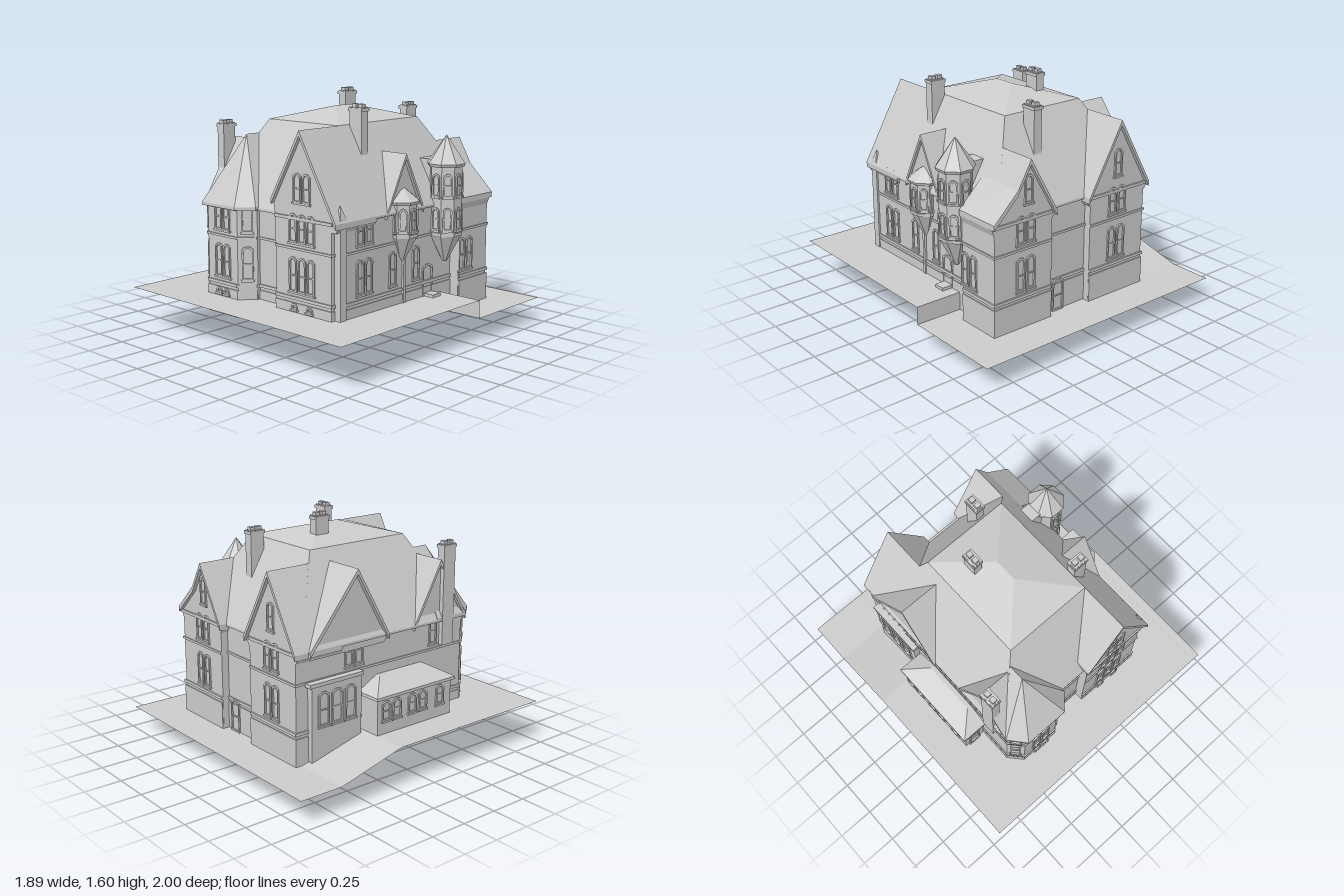
import * as THREE from 'three';

const grey = new THREE.MeshStandardMaterial({ color: 0xcccccc, flatShading: true });
const thin = new THREE.MeshStandardMaterial({ color: 0xcccccc, flatShading: true, side: THREE.DoubleSide });
const FRONT = 0, RIGHT = Math.PI / 2, BACK = Math.PI, LEFT = -Math.PI / 2;

export function createModel() {
  const model = new THREE.Group();
  model.name = 'manorHouse';

  const add = (name, geo, parent = model, mat = grey) => {
    const mesh = new THREE.Mesh(geo, mat);
    mesh.name = name;
    parent.add(mesh);
    return mesh;
  };
  // Box given by its limits
  const box = (name, x0, x1, y0, y1, z0, z1, parent) => {
    const m = add(name, new THREE.BoxGeometry(x1 - x0, y1 - y0, z1 - z0), parent);
    m.position.set((x0 + x1) / 2, (y0 + y1) / 2, (z0 + z1) / 2);
    return m;
  };
  // Group whose local +z points out of the given side
  const facing = (angle, name) => {
    const g = new THREE.Group();
    g.rotation.y = angle;
    g.name = name;
    model.add(g);
    return g;
  };
  // Solid skinned over loops of equal length, from bottom to top
  const loft = (name, loops) => {
    const pos = [], n = loops[0].length, top = loops[loops.length - 1];
    const tri = (a, b, c) => pos.push(...a, ...b, ...c);
    for (let k = 0; k + 1 < loops.length; k++) {
      for (let i = 0; i < n; i++) {
        const j = (i + 1) % n, lo = loops[k], up = loops[k + 1];
        tri(lo[i], lo[j], up[j]);
        tri(lo[i], up[j], up[i]);
      }
    }
    for (let i = 1; i + 1 < n; i++) {
      tri(loops[0][0], loops[0][i + 1], loops[0][i]);
      tri(top[0], top[i], top[i + 1]);
    }
    const g = new THREE.BufferGeometry();
    g.setAttribute('position', new THREE.Float32BufferAttribute(pos, 3));
    g.computeVertexNormals();
    return add(name, g);
  };
  const rect = (x0, x1, z0, z1, y) => [[x0, y, z1], [x1, y, z1], [x1, y, z0], [x0, y, z0]];
  const polygon = pts => new THREE.Shape(pts.map(p => new THREE.Vector2(p[0], p[1])));
  const extrude = (shape, depth) => new THREE.ExtrudeGeometry(shape, { depth, bevelEnabled: false, curveSegments: 4 });

  // Walls and string courses
  const plan = [[-.56, .64], [-.48, .73], [-.2, .73], [-.11, .64], [-.11, .62], [.1, .62], [.1, .68], [.575, .68],
    [.575, .64], [.61, .64], [.61, -.43], [.68, -.43], [.68, -.74], [.23, -.74], [.23, -.69], [-.09, -.69],
    [-.09, -.74], [-.56, -.74]];
  const slab = (name, y0, y1, grow = 1) => {
    const g = extrude(polygon(plan.map(([x, z]) => [x * grow, -z * grow])), y1 - y0);
    g.rotateX(-Math.PI / 2);
    add(name, g).position.y = y0;
  };
  slab('walls', .16, .88);
  slab('plinth', .16, .34, 1.01);
  slab('waterTable', .36, .38, 1.014);
  slab('stringCourse', .675, .69, 1.012);
  slab('cornice', .86, .88, 1.015);

  // Main roof with a shallow top
  loft('mainRoof', [rect(-.585, .63, -.71, .65, .865), rect(-.585, .63, -.71, .65, .88),
    rect(-.28, .33, -.41, .36, 1.41), rect(.02, .02, -.1, .05, 1.495)]);

  // Gables: wall below a roof that oversails it
  const gable = (name, angle, pts, inner, wall, verge) => {
    const g = facing(angle, name);
    const a = pts[0][0], b = pts[pts.length - 1][0], drop = d => pts.map(([s, y]) => [s, y - d]);
    const body = extrude(polygon([[a + .02, .82], [b - .02, .82], ...drop(.03).reverse()]), wall - inner);
    add('gableWall', body, g).position.z = inner;
    const cover = extrude(polygon([...drop(.035), ...drop(0).reverse()]), verge - inner);
    add('gableRoof', cover, g).position.z = inner;
  };
  gable('frontGable', FRONT, [[.085, .975], [.33, 1.41], [.63, .88]], .34, .68, .705);
  gable('backLargeGable', BACK, [[.06, .88], [.32, 1.34], [.585, .88]], .4, .74, .765);
  gable('backSmallGable', BACK, [[-.7, .9], [-.52, 1.075], [-.42, 1.25], [-.21, .88]], .43, .74, .765);
  gable('leftSideDormer', RIGHT, [[-.24, .88], [-.06, 1.235], [.12, .88]], .42, .61, .63);
  gable('rightSideBackGable', LEFT, [[-.66, .88], [-.29, 1.335], [-.03, .88]], .31, .57, .6);
  gable('rightSideFrontGable', LEFT, [[.2, .88], [.42, 1.28], [.66, .88]], .34, .56, .585);

  // Roof of the canted corner bay
  const bayEave = [[-.585, .66], [-.49, .77], [-.18, .77], [-.09, .67], [-.09, .4], [-.585, .4]];
  loft('bayRoof', [bayEave.map(([x, z]) => [x, .87, z]), bayEave.map(([x, z]) => [x, .89, z]),
    bayEave.map((p, i) => [-.33, 1.32, i < 4 ? .52 : .4])]);

  // Windows: arched frame with a meeting rail and sill
  const frameGeo = (w, h) => {
    const arch = (v, lo, hi) => [[-v, lo], [v, lo], [v, hi - .02], [v * .5, hi - .004], [0, hi],
      [-v * .5, hi - .004], [-v, hi - .02]];
    const s = polygon(arch(w / 2, 0, h));
    s.holes.push(polygon(arch(w / 2 - .01, .01, h - .012).reverse()));
    return extrude(s, .01);
  };
  const windowAt = (x, y, z, angle, w, h) => {
    const g = facing(angle, 'window');
    g.position.set(x, y, z);
    add('windowFrame', frameGeo(w, h), g);
    if (h > .1) box('meetingRail', -w / 2, w / 2, h * .45, h * .45 + .008, 0, .006, g);
    box('windowSill', -w / 2 - .006, w / 2 + .006, -.012, 0, 0, .014, g);
  };
  const rows = [[.41, .22], [.72, .18], [.97, .18]];
  const wallWindows = (angle, depth, list, levels) => {
    for (const r of levels) {
      for (const s of list) {
        const c = Math.cos(angle), k = Math.sin(angle);
        windowAt(s * c + depth * k, rows[r][0], -s * k + depth * c, angle, .066, rows[r][1]);
      }
    }
  };
  wallWindows(FRONT, .68, [.255, .33, .405], [0, 1]);
  wallWindows(FRONT, .68, [.293, .37], [2]);
  wallWindows(FRONT, .73, [-.375, -.3], [0, 1]);
  wallWindows(RIGHT, .61, [-.47, -.39], [0, 1]);
  wallWindows(RIGHT, .61, [-.165, .065], [0]);
  wallWindows(RIGHT, .68, [.46, .54], [0]);
  wallWindows(BACK, .74, [.28, .36], [0, 1]);
  wallWindows(BACK, .74, [.32], [2]);
  wallWindows(BACK, .74, [-.48, -.4], [0, 1]);
  wallWindows(BACK, .74, [-.42], [2]);
  wallWindows(LEFT, .56, [-.33, -.25, .38], [1]);
  for (const [y, h] of rows.slice(0, 2)) {
    windowAt(-.155, y, .685, Math.PI / 4, .075, h);
    windowAt(-.52, y, .685, -.84, .07, h);
  }
  for (const x of [-.37, -.3, .27, .4]) windowAt(x, .3, x < 0 ? .738 : .687, FRONT, .05, .04);

  // Corbelled oriel turrets on the left flank
  const turret = (name, x, z, r, tip, foot, eave, apex) => {
    const g = new THREE.Group();
    g.name = name;
    g.position.set(x, 0, z);
    model.add(g);
    const drum = (part, top, bottom, y0, y1) => {
      const m = add(part, new THREE.CylinderGeometry(top, bottom, y1 - y0, 8), g);
      m.position.y = (y0 + y1) / 2;
      m.rotation.y = Math.PI / 8;
    };
    drum('turretCorbel', r, .015, tip, foot);
    drum('turretBase', r * 1.06, r * 1.06, foot, foot + .02);
    drum('turretBody', r, r, foot, eave);
    drum('turretEave', r * 1.18, r * 1.1, eave - .02, eave);
    drum('turretRoof', .002, r * 1.18, eave, apex);
    for (let i = 0; i < 5; i++) {
      const a = i * Math.PI / 4, d = r * Math.cos(Math.PI / 8);
      for (let y = foot + .04; y + .16 < eave; y += .22) {
        windowAt(x + d * Math.sin(a), y, z + d * Math.cos(a), a, r * .55, .15);
      }
    }
  };
  turret('tallTurret', .645, -.325, .108, .49, .67, 1.14, 1.32);
  turret('smallTurret', .595, .06, .1, .54, .71, .94, 1.03);
  box('turretLink', .465, .62, .95, 1.16, -.38, -.27);
  box('downpipe', .605, .625, .28, .57, .05, .07);
  box('cornerPier', .57, .622, .16, .9, .6, .655);
  const cap = add('cornerCap', new THREE.ConeGeometry(.037, .08, 4).rotateY(Math.PI / 4));
  cap.position.set(.596, .94, .627);

  // Chimneys with caps and twin pots
  const chimney = (x, z, w, d, y0, y1) => {
    box('chimneyStack', x - w / 2, x + w / 2, y0, y1 - .02, z - d / 2, z + d / 2);
    box('chimneyCap', x - w / 2 - .006, x + w / 2 + .006, y1 - .045, y1 - .025, z - d / 2 - .006, z + d / 2 + .006);
    for (const k of [-1, 1]) {
      const px = w > d ? x + k * w / 4 : x, pz = w > d ? z : z + k * d / 4;
      box('chimneyPot', px - .017, px + .017, y1 - .025, y1, pz - .017, pz + .017);
    }
  };
  chimney(-.098, -.19, .06, .1, 1.4, 1.595);
  chimney(.383, .23, .1, .06, 1.2, 1.54);
  chimney(.182, -.495, .06, .1, 1.15, 1.495);
  chimney(-.56, .49, .06, .1, .7, 1.395);

  // Side porch with a hipped roof, and shallow bay behind it
  box('porchWall', -.72, -.55, .16, .53, -.23, .4);
  loft('porchRoof', [rect(-.74, -.54, -.25, .42, .515), rect(-.74, -.54, -.25, .42, .535),
    rect(-.59, -.54, -.1, .28, .615)]);
  for (const z of [-.16, -.07, .06, .15, .3]) windowAt(-.72, .37, z, LEFT, .07, .13);
  windowAt(-.645, .3, .4, FRONT, .085, .21);
  box('sideBay', -.6, -.55, .16, .66, -.65, -.26);
  box('sideBayCap', -.612, -.55, .66, .685, -.67, -.25);
  for (const z of [-.56, -.455, -.35]) windowAt(-.6, .4, z, LEFT, .085, .22);

  // Entrances
  windowAt(.61, .28, -.185, RIGHT, .1, .21);
  box('doorStep', .6, .69, .28, .3, -.23, -.15);
  windowAt(.14, .16, -.7, BACK, .09, .22);

  // Cellar and its stair
  box('cellar', -.56, -.11, 0, .17, -.72, -.12);
  for (let i = 0; i < 5; i++) {
    box('cellarStep', -.11, .01, .115 - i * .025, .165 - i * .025, -.17 - i * .045, -.125 - i * .045);
  }
  box('cellarLanding', -.11, .01, 0, .05, -.37, -.31);

  // Ground sheet stepping and sloping down to the back
  const ground = (x0, x1, profile) => {
    const g = new THREE.PlaneGeometry(1, 1, 1, profile.length - 1), p = g.attributes.position;
    profile.forEach(([z, y], i) => {
      p.setXYZ(i * 2, x0, y, z);
      p.setXYZ(i * 2 + 1, x1, y, z);
    });
    g.computeVertexNormals();
    add('ground', g, model, thin);
  };
  ground(-.945, -.56, [[-1, .16], [-.7, .16], [-.23, .28], [1, .28]]);
  ground(-.56, .945, [[-1, .16], [-.31, .16], [-.31, .28], [1, .28]]);

  return model;
}
